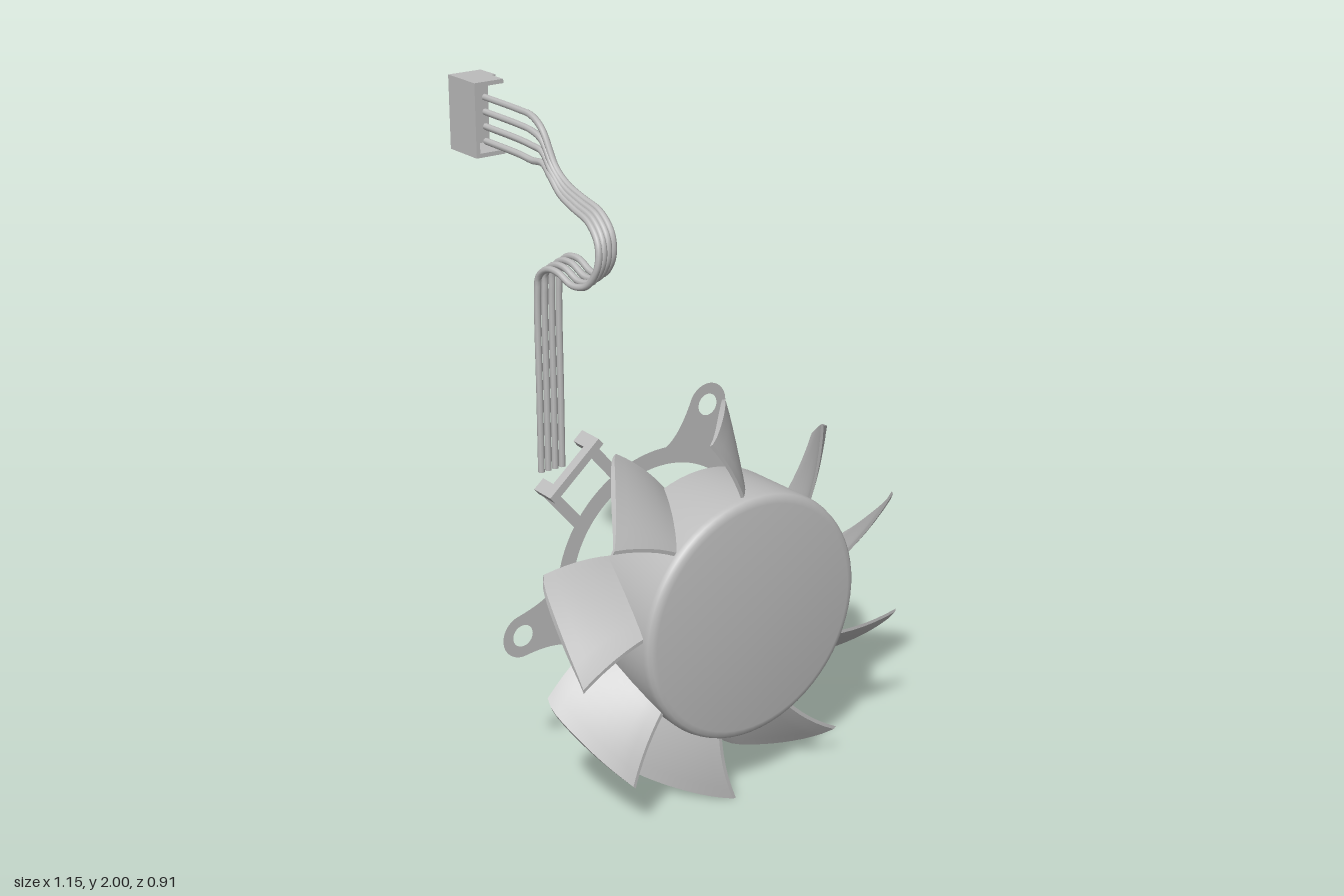
import * as THREE from 'three';
import { toCreasedNormals } from 'three/addons/utils/BufferGeometryUtils.js';

const CY = 0.575; // height of the fan axis
const PLATE_Z = 0.014; // depth of the mounting plate
const rad = THREE.MathUtils.degToRad;

export function createModel() {
  const model = new THREE.Group();
  const grey = new THREE.MeshStandardMaterial({ color: 0xbcbcbc });
  grey.name = 'plastic grey';
  const greySheet = new THREE.MeshStandardMaterial({ color: 0xbcbcbc, side: THREE.DoubleSide });
  greySheet.name = 'plastic grey sheet';

  const add = (parent, name, geometry, material = grey) => {
    const mesh = new THREE.Mesh(geometry, material);
    mesh.name = name;
    parent.add(mesh);
    return mesh;
  };
  const box = (parent, name, x0, x1, y0, y1, z0, z1) => {
    const mesh = add(parent, name, new THREE.BoxGeometry(x1 - x0, y1 - y0, z1 - z0));
    mesh.position.set((x0 + x1) / 2, (y0 + y1) / 2, (z0 + z1) / 2);
    return mesh;
  };

  // Rotor: hub with a rounded front edge
  const rotor = new THREE.Group();
  rotor.name = 'rotor';
  rotor.position.y = CY;
  model.add(rotor);
  const profile = [
    [0, 0.19], [0.355, 0.19], [0.365, 0.2], [0.37, 0.43], [0.366, 0.445], [0.357, 0.453], [0.342, 0.456], [0, 0.456],
  ].map(([r, z]) => new THREE.Vector2(r, z));
  const hubGeo = new THREE.LatheGeometry(profile, 64);
  hubGeo.rotateX(Math.PI / 2);
  add(rotor, 'hub', toCreasedNormals(hubGeo, rad(35)));

  // Blade: a thin slab bent along a helix, swept forward at the tip, with rounded tip corners
  const bladeGeo = new THREE.BoxGeometry(1, 1, 1, 6, 1, 12);
  const p = bladeGeo.attributes.position;
  for (let i = 0; i < p.count; i++) {
    const u = p.getX(i) + 0.5;
    const t = 0.5 - p.getZ(i); // 0 at the front edge, 1 at the back
    const corner = 0.014 * Math.pow(Math.abs(2 * t - 1), 6);
    const r = 0.355 + u * (0.219 - corner * t);
    const front = 94 + 11 * u;
    const back = 70 + 11 * u;
    const thick = 0.02 * (0.35 + 0.65 * Math.sin(Math.PI * Math.min(1, t * 0.85 + 0.1)));
    const angle = rad(front + (back - front) * Math.pow(t, 0.85)) + (p.getY(i) * thick) / r;
    const z = 0.437 - 0.247 * t - 0.01 * (1 - t) * (1 - u);
    p.setXYZ(i, r * Math.cos(angle), r * Math.sin(angle), z);
  }
  const bladeShape = toCreasedNormals(bladeGeo, rad(35));
  for (let k = 0; k < 9; k++) {
    add(rotor, 'blade', bladeShape).rotation.z = rad(-40 * k);
  }

  // Mounting plate: flat ring behind the rotor with three drilled lugs
  const mount = new THREE.Group();
  mount.name = 'mountingPlate';
  mount.position.set(0, CY, PLATE_Z);
  model.add(mount);
  const hole = (x, y, r) => new THREE.Path().absarc(x, y, r, 0, Math.PI * 2, true);
  const ring = new THREE.Shape().absarc(0, 0, 0.368, 0, Math.PI * 2);
  ring.holes.push(hole(0, 0, 0.315));
  add(mount, 'mountingRing', new THREE.ShapeGeometry(ring, 48), greySheet);

  const lug = new THREE.Shape();
  lug.moveTo(0.35, -0.11);
  lug.quadraticCurveTo(0.39, -0.072, 0.495, -0.066);
  lug.absarc(0.495, 0, 0.066, -Math.PI / 2, Math.PI / 2);
  lug.quadraticCurveTo(0.39, 0.072, 0.35, 0.11);
  lug.holes.push(hole(0.495, 0, 0.033));
  const lugGeo = new THREE.ShapeGeometry(lug, 16);
  for (const a of [70, 190, -50]) {
    add(mount, 'mountingLug', lugGeo, greySheet).rotation.z = rad(a);
  }

  // Cable bracket: flat arms from the ring to a small U-shaped clip
  const bracket = new THREE.Group();
  bracket.name = 'cableBracket';
  bracket.position.set(0, CY, 0);
  bracket.rotation.z = rad(130);
  model.add(bracket);
  for (const s of [-1, 1]) {
    const arm = add(bracket, 'bracketArm', new THREE.PlaneGeometry(0.2, 0.035), greySheet);
    arm.position.set(0.445, s * 0.087, PLATE_Z);
    box(bracket, 'bracketProng', 0.525, 0.55, s * 0.087 - 0.02, s * 0.087 + 0.02, 0.01, 0.09);
  }
  box(bracket, 'bracketBar', 0.525, 0.55, -0.107, 0.107, 0.06, 0.09);

  // Four wires: a straight ribbon, a loop, then a fan into the connector
  const wires = new THREE.Group();
  wires.name = 'wires';
  model.add(wires);
  const loop = [
    [0.022, 0.98], [0.022, 1.2], [0.022, 1.5], [0.03, 1.56], [0.07, 1.59], [0.12, 1.595], [0.18, 1.572],
    [0.235, 1.585], [0.273, 1.64], [0.268, 1.7], [0.22, 1.745], [0.14, 1.765], [0.07, 1.785], [0.015, 1.82],
  ];
  for (let i = 0; i < 4; i++) {
    const x0 = -0.418 + i * 0.023;
    const endY = 1.832 + i * 0.041;
    const spread = (i - 1.5) * 0.008;
    const points = loop.map(([z, y], j) => {
      const blend = Math.max(0, (j - 5) / (loop.length - 6));
      const off = j > 2 ? spread : 0;
      return new THREE.Vector3(x0 + (-0.355 + spread * 0.7 - x0) * blend, y + off, z);
    });
    points.push(
      new THREE.Vector3(-0.348, 1.825 + (endY - 1.825) * 0.75, -0.045),
      new THREE.Vector3(-0.345, endY - 0.006, -0.1),
      new THREE.Vector3(-0.345, endY - 0.002, -0.16),
      new THREE.Vector3(-0.345, endY, -0.33),
    );
    const path = new THREE.CatmullRomCurve3(points, false, 'centripetal');
    add(wires, 'wire', new THREE.TubeGeometry(path, 110, 0.0095, 8));
  }

  // Connector: housing open towards the wires and on one side, with four sockets at the back
  const connector = new THREE.Group();
  connector.name = 'connector';
  model.add(connector);
  const back = new THREE.Shape([
    [-0.383, 1.79], [-0.277, 1.79], [-0.277, 2], [-0.383, 2],
  ].map(([x, y]) => new THREE.Vector2(x, y)));
  for (let i = 0; i < 4; i++) back.holes.push(hole(-0.338, 1.832 + i * 0.041, 0.009));
  const backGeo = new THREE.ExtrudeGeometry(back, { depth: 0.035, bevelEnabled: false, curveSegments: 8 });
  add(connector, 'socketFace', backGeo).position.z = -0.456;
  box(connector, 'sideWall', -0.383, -0.371, 1.79, 2, -0.421, -0.32);
  for (const y of [1.79, 1.988]) {
    box(connector, 'endWall', -0.383, -0.29, y, y + 0.012, -0.421, -0.32);
    box(connector, 'keyRib', -0.29, -0.277, y, y + 0.012, -0.421, -0.38);
  }

  return model;
}
